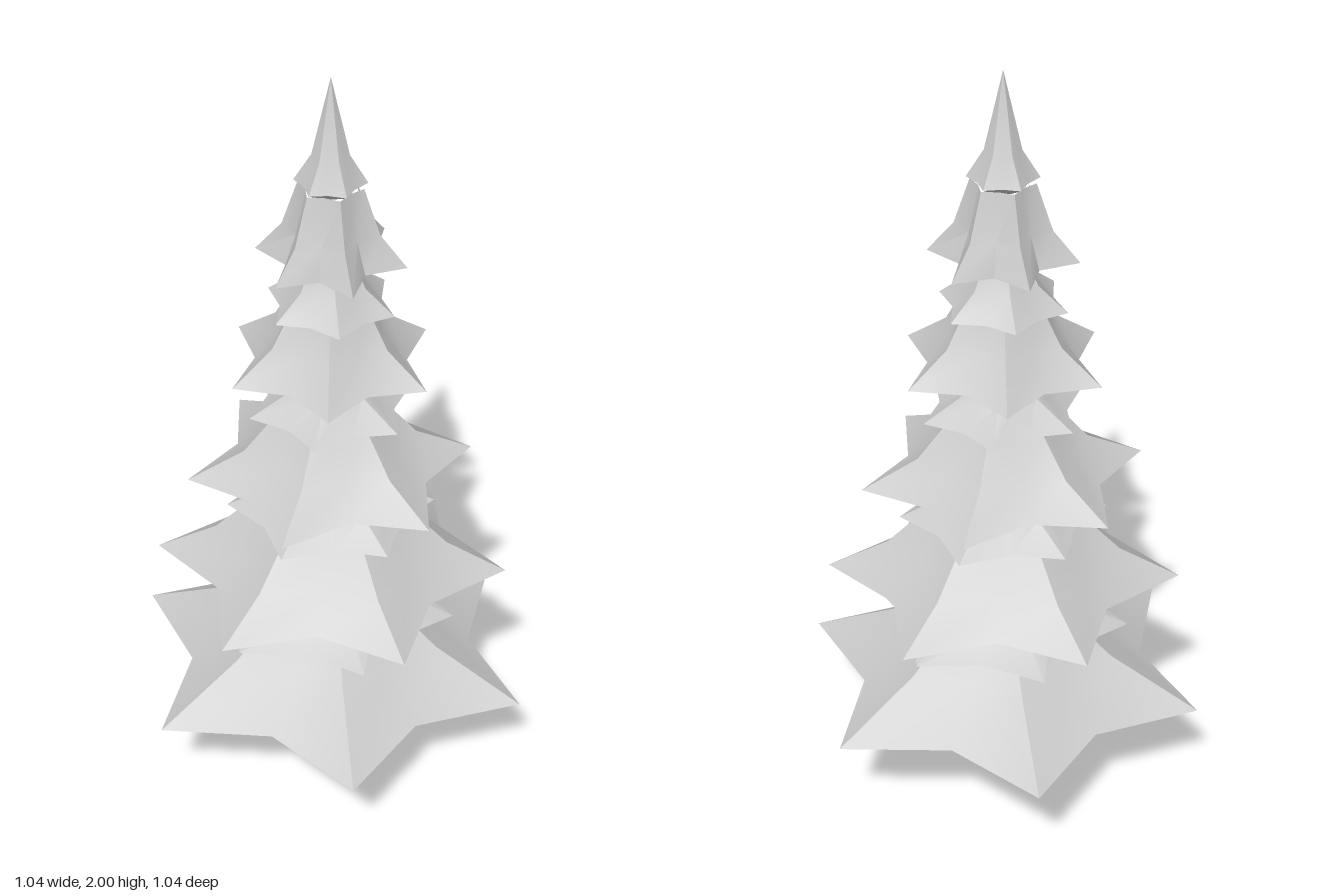
import * as THREE from 'three';
import { toCreasedNormals } from 'three/addons/utils/BufferGeometryUtils.js';

const POINTS = 6, SIDES = POINTS * 2;
const material = new THREE.MeshStandardMaterial({ color: 0xcccccc });

// Star-shaped skirt from rings of [tip radius, valley radius, height], listed from the underside up
function starSkirt(rings, turn) {
  const positions = [], index = [];
  for (const [tip, valley, y] of rings) {
    for (let i = 0; i < SIDES; i++) {
      const a = turn + (i / SIDES) * Math.PI * 2;
      const r = i % 2 ? valley : tip;
      positions.push(r * Math.cos(a), y, r * Math.sin(a));
    }
  }
  for (let j = 0; j < rings.length - 1; j++) {
    for (let i = 0; i < SIDES; i++) {
      const a = j * SIDES + i, b = j * SIDES + (i + 1) % SIDES;
      const c = a + SIDES, d = b + SIDES;
      if (rings[j][0] > 0) index.push(a, c, b);
      if (rings[j + 1][0] > 0) index.push(b, c, d);
    }
  }
  const geometry = new THREE.BufferGeometry();
  geometry.setAttribute('position', new THREE.Float32BufferAttribute(positions, 3));
  geometry.setIndex(index);
  return toCreasedNormals(geometry, 0.6);
}

// Rim y, rim radius, valley ratio, then the middle and top of the slope as radius and y
const LAYERS = [
  [0.285, 0.54, 0.69, 0.30, 0.40, 0.22, 0.465],
  [0.475, 0.33, 0.75, 0.195, 0.525, 0.13, 0.60],
  [0.60, 0.455, 0.69, 0.30, 0.68, 0.20, 0.78],
  [0.785, 0.265, 0.75, 0.15, 0.84, 0.09, 0.91],
  [0.91, 0.365, 0.69, 0.22, 0.98, 0.13, 1.09],
  [1.10, 0.213, 0.75, 0.10, 1.16, 0.05, 1.23],
  [1.23, 0.27, 0.69, 0.16, 1.31, 0.115, 1.39],
  [1.395, 0.165, 0.75, 0.09, 1.455, 0.06, 1.52],
  [1.52, 0.187, 0.60, 0.12, 1.60, 0.08, 1.72],
  [1.73, 0.088, 0.78, 0.045, 1.80, 0, 2.0],
];

export function createModel() {
  const tree = new THREE.Group();
  tree.name = 'pineTree';

  // Trunk, slightly tapered
  const trunk = new THREE.Mesh(new THREE.CylinderGeometry(0.08, 0.1, 0.4, 10), material);
  trunk.name = 'trunk';
  trunk.position.y = 0.2;
  tree.add(trunk);

  // Branch layers: wide flat-bottomed skirts alternate with small ones whose underside dips
  LAYERS.forEach(([y, r, ratio, midR, midY, topR, topY], k) => {
    const small = k % 2 === 1;
    const dip = small ? 0.05 : 0;
    const turn = THREE.MathUtils.degToRad(14.8 - 8.75 * k);
    const skirt = new THREE.Mesh(starSkirt([
      [0, 0, y - dip],
      [r, r * ratio, y],
      [midR, midR * (ratio + 0.12), midY],
      [topR, topR * (ratio + 0.18), topY],
    ], turn), material);
    skirt.name = k === LAYERS.length - 1 ? 'treeTop' : small ? 'upperBranchSkirt' : 'lowerBranchSkirt';
    tree.add(skirt);
  });

  tree.position.x = -0.005;
  return tree;
}
